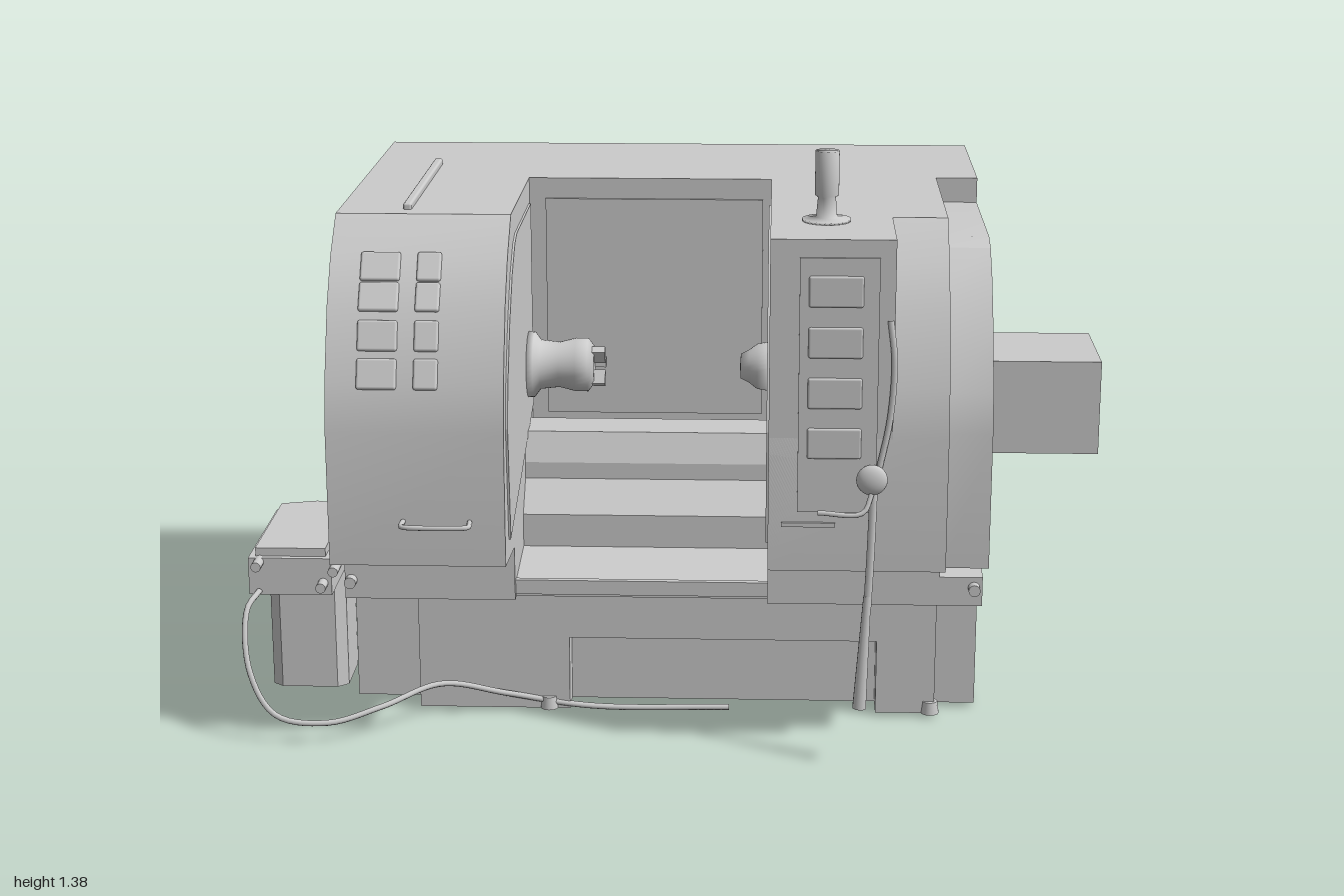
import * as THREE from 'three';
import { RoundedBoxGeometry } from 'three/addons/geometries/RoundedBoxGeometry.js';
import { toCreasedNormals } from 'three/addons/utils/BufferGeometryUtils.js';

export function createModel() {
  const root = new THREE.Group();
  const mat = new THREE.MeshStandardMaterial({ color: 0xcccccc });

  const add = (name, geo, x = 0, y = 0, z = 0) => {
    const m = new THREE.Mesh(geo, mat);
    m.name = name;
    m.position.set(x, y, z);
    root.add(m);
    return m;
  };
  // box given by its limits
  const box = (name, x0, x1, y0, y1, z0, z1) => add(name,
    new THREE.BoxGeometry(x1 - x0, y1 - y0, z1 - z0), (x0 + x1) / 2, (y0 + y1) / 2, (z0 + z1) / 2);
  // side profile of [z, y] points extruded from x0 to x1
  const slab = (name, x0, x1, pts) => {
    const shape = new THREE.Shape(pts.map(([z, y]) => new THREE.Vector2(z, y)));
    const g = new THREE.ExtrudeGeometry(shape, { depth: x1 - x0, bevelEnabled: false });
    g.rotateY(-Math.PI / 2);
    g.translate(x1, 0, 0);
    return add(name, toCreasedNormals(g, 0.3));
  };
  // plan profile of [x, z] points extruded from y0 to y1
  const prism = (name, y0, y1, pts) => {
    const shape = new THREE.Shape(pts.map(([x, z]) => new THREE.Vector2(x, -z)));
    const g = new THREE.ExtrudeGeometry(shape, { depth: y1 - y0, bevelEnabled: false });
    g.rotateX(-Math.PI / 2);
    return add(name, g, 0, y0, 0);
  };
  const tube = (name, pts, r, seg = 40) => add(name, new THREE.TubeGeometry(
    new THREE.CatmullRomCurve3(pts.map(p => new THREE.Vector3(...p))), seg, r, 8));
  const lathe = (pts) => new THREE.LatheGeometry(pts.map(p => new THREE.Vector2(...p)), 32);

  // enclosure: curved cabinets joined by a back block
  const back = [[-0.62, 1.21], [-0.62, 0.365], [-0.61, 0.353]];
  const under = [[-0.27, 0.31], [0.38, 0.31], [0.38, 0.44]];
  const arc = [[0.575, 0.77], [0.555, 0.88], [0.49, 1.04], [0.42, 1.14], [0.33, 1.22]];
  const innerArc = [[0.53, 0.77], [0.51, 0.86], [0.445, 0.99], [0.37, 1.09], [0.3, 1.145], [0.25, 1.16]];
  const cabinet = [...back, ...under, [0.575, 0.46], ...arc, [-0.61, 1.22]];
  slab('leftCabinet', -0.77, -0.37, cabinet);
  slab('rightCabinet', 0.22, 0.62, cabinet);
  slab('endCover', 0.62, 0.72, [...back, [-0.27, 0.31], [0.38, 0.31], [0.38, 0.38], [0.33, 0.39], [0.33, 0.44],
    [0.53, 0.455], ...innerArc, [-0.155, 1.16], [-0.155, 1.22], [-0.61, 1.22]]);
  slab('backBlock', -0.37, 0.22, [...back, [-0.27, 0.31], [-0.12, 0.31], [-0.12, 1.22], [-0.61, 1.22]]);

  // inner wall panels beside the work area
  const panel = [[-0.1, 0.66], [0.5, 0.5], ...innerArc, [-0.1, 1.16]];
  slab('innerPanel', -0.37, -0.365, panel);
  slab('innerPanel', 0.215, 0.22, panel);
  box('backWallPanel', -0.33, 0.2, 0.63, 1.17, -0.12, -0.113);

  // stepped slanting bed and drip tray
  slab('bed', -0.37, 0.22, [[-0.12, 0.31], [0.35, 0.31], [0.35, 0.35], [0.16, 0.37], [0.16, 0.45],
    [0.09, 0.52], [0.09, 0.56], [0.06, 0.63], [-0.06, 0.63], [-0.12, 0.6]]);
  box('trayLip', -0.37, 0.29, 0.32, 0.355, 0.35, 0.365);

  // control tower with front panel
  box('controlTower', 0.22, 0.495, 0.46, 1.22, -0.06, 0.575);
  box('controlPanel', 0.285, 0.46, 0.6, 1.18, 0.575, 0.58);
  for (let i = 0; i < 4; i++) {
    add('panelPad', new RoundedBoxGeometry(0.12, 0.07, 0.012, 2, 0.005), 0.365, 0.76 + i * 0.115, 0.58);
  }
  box('towerSlot', 0.25, 0.37, 0.565, 0.575, 0.575, 0.582);

  // signal post on top
  add('signalPost', lathe([[0, 0], [0.055, 0], [0.055, 0.006], [0.024, 0.01], [0.02, 0.055],
    [0.027, 0.06], [0.027, 0.16], [0, 0.16]]), 0.345, 1.22, 0.375);

  // lever with hub, blade and lead
  const hub = add('leverHub', new THREE.SphereGeometry(0.035, 20, 14), 0.45, 0.68, 0.592);
  hub.scale.z = 0.5;
  tube('leverArm', [[0.455, 0.68, 0.59], [0.45, 0.5, 0.595], [0.445, 0.38, 0.597]], 0.009, 12);
  const blade = add('leverBlade', new THREE.CylinderGeometry(0.009, 0.016, 0.27, 10), 0.438, 0.275, 0.597);
  blade.rotation.z = -0.05;
  tube('leverLead', [[0.465, 0.7, 0.585], [0.488, 0.82, 0.58], [0.495, 0.95, 0.58], [0.485, 1.04, 0.575]], 0.007, 20);
  tube('leverRod', [[0.33, 0.61, 0.615], [0.43, 0.61, 0.615], [0.45, 0.65, 0.6]], 0.006, 12);

  // window pads following the curve of the left cabinet
  const frontAt = y => {
    const i = Math.min(3, Math.max(1, arc.findIndex(p => p[1] > y))) - 1;
    const k = y < arc[3][1] ? i + (y > arc[i + 1][1] ? 1 : 0) : 3;
    const [a, b] = [arc[k], arc[k + 1]];
    const t = (y - a[1]) / (b[1] - a[1]);
    return { z: a[0] + (b[0] - a[0]) * t, tilt: Math.atan2(b[0] - a[0], b[1] - a[1]) };
  };
  for (const y of [0.9, 0.98, 1.06, 1.12]) {
    const { z, tilt } = frontAt(y);
    for (const [x, w] of [[-0.655, 0.09], [-0.545, 0.055]]) {
      const pad = add('windowPad', new RoundedBoxGeometry(w, 0.07, 0.014, 2, 0.006), x, y, z);
      pad.rotation.x = tilt;
    }
  }

  // door pull and roof strip
  tube('doorPull', [[-0.6, 0.565, 0.57], [-0.6, 0.565, 0.612], [-0.59, 0.565, 0.618],
    [-0.46, 0.565, 0.618], [-0.45, 0.565, 0.612], [-0.45, 0.565, 0.57]], 0.006);
  add('roofStrip', new RoundedBoxGeometry(0.02, 0.025, 0.58, 2, 0.006), -0.613, 1.222, -0.01);

  // side plates and drive housing
  box('rightPlate', 0.72, 0.733, 0.46, 0.89, -0.115, 0.2);
  box('leftPlate', -0.783, -0.77, 0.46, 0.89, -0.115, 0.2);
  box('driveHousing', 0.73, 1, 0.62, 0.845, -0.11, 0.17);

  // spindle chuck and tail centre, both along x
  const chuck = add('chuck', lathe([[0, 0], [0.08, 0], [0.08, 0.02], [0.06, 0.035], [0.055, 0.08],
    [0.065, 0.12], [0.065, 0.15], [0.045, 0.165], [0, 0.165]]), -0.37, 0.785, 0.01);
  chuck.rotation.z = -Math.PI / 2;
  for (let i = 0; i < 3; i++) {
    const a = i * Math.PI * 2 / 3 + 0.5;
    const jaw = add('chuckJaw', new THREE.BoxGeometry(0.04, 0.035, 0.02),
      -0.198, 0.785 + Math.cos(a) * 0.033, 0.01 + Math.sin(a) * 0.033);
    jaw.rotation.x = a;
  }
  const tail = add('tailCentre', lathe([[0, 0], [0.06, 0], [0.055, 0.03], [0.04, 0.05],
    [0.03, 0.07], [0, 0.072]]), 0.22, 0.785, 0.01);
  tail.rotation.z = Math.PI / 2;

  // base with notched front
  box('base', -0.77, 0.72, 0.01, 0.31, -0.18, 0.235);
  box('baseFrontTop', -0.61, 0.62, 0.19, 0.31, 0.235, 0.305);
  box('baseFrontLeft', -0.61, -0.25, 0.01, 0.19, 0.235, 0.305);
  box('baseFrontRight', 0.48, 0.62, 0.01, 0.19, 0.235, 0.305);
  for (const x of [-0.3, 0.61]) {
    add('levellingFoot', new THREE.CylinderGeometry(0.018, 0.022, 0.03, 12), x, 0.025, 0.3);
  }
  for (const x of [-0.755, 0.7]) {
    const bolt = add('sideBolt', new THREE.CylinderGeometry(0.014, 0.014, 0.03, 12), x, 0.355, 0.39);
    bolt.rotation.x = Math.PI / 2;
  }

  // coolant unit standing beside the base
  prism('coolantPost', 0.01, 0.34, [[-0.99, 0.03], [-0.895, -0.01], [-0.805, 0.03],
    [-0.805, 0.17], [-0.83, 0.19], [-0.965, 0.19], [-0.99, 0.17]]);
  prism('coolantHead', 0.32, 0.41, [[-0.995, 0.025], [-0.895, -0.01], [-0.8, 0.025], [-0.8, 0.39], [-0.995, 0.39]]);
  prism('coolantLid', 0.41, 0.43, [[-0.98, 0.035], [-0.895, 0.01], [-0.815, 0.035], [-0.815, 0.375], [-0.98, 0.375]]);
  for (const [x, y] of [[-0.79, 0.39], [-0.82, 0.35], [-0.97, 0.4]]) {
    const n = add('coolantNozzle', new THREE.CylinderGeometry(0.012, 0.012, 0.06, 12), x, y, 0.4);
    n.rotation.x = Math.PI / 2;
  }

  // hose trailing over the floor to the base
  tube('hose', [[-0.97, 0.33, 0.39], [-0.992, 0.3, 0.44], [-0.98, 0.17, 0.5], [-0.92, 0.07, 0.52],
    [-0.8, 0.05, 0.515], [-0.68, 0.07, 0.46], [-0.55, 0.09, 0.36], [-0.4, 0.05, 0.315],
    [-0.2, 0.015, 0.3], [0.13, 0.008, 0.28]], 0.007, 80);

  return root;
}
